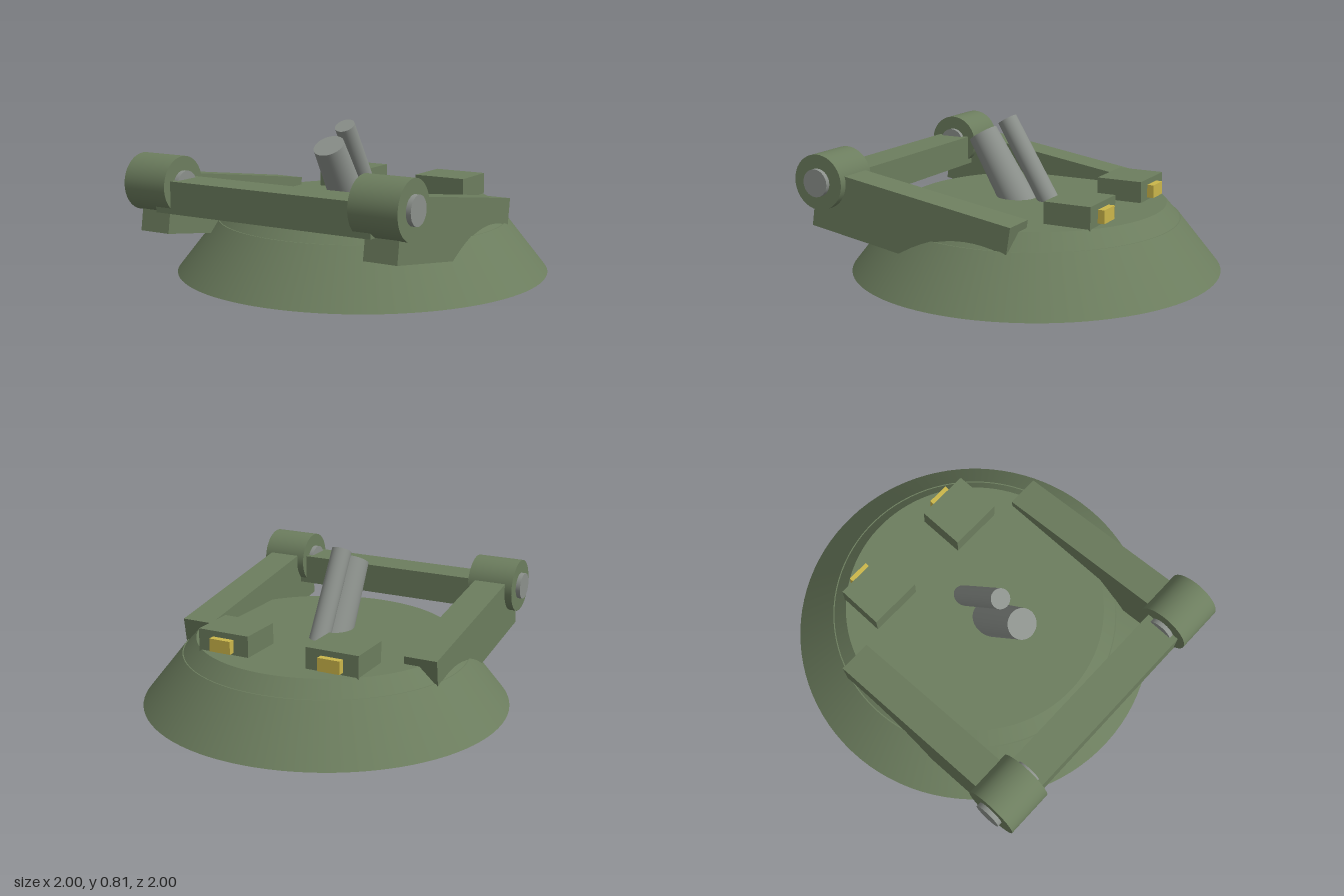
import * as THREE from 'three';

export function createModel() {
  const model = new THREE.Group();
  model.name = 'domedHatchMachine';

  const paint = (name, color) => {
    const m = new THREE.MeshStandardMaterial({ color });
    m.name = name;
    return m;
  };
  const green = paint('olive green', 0x6c7d5e);
  const steel = paint('steel grey', 0x8b908b);
  const yellow = paint('lamp yellow', 0xcbb64a);

  const add = (name, geometry, material, x, y, z) => {
    const mesh = new THREE.Mesh(geometry, material);
    mesh.name = name;
    mesh.position.set(x, y, z);
    model.add(mesh);
    return mesh;
  };
  const box = (w, h, d) => new THREE.BoxGeometry(w, h, d);
  const cyl = (top, bottom, h, sides = 48) => new THREE.CylinderGeometry(top, bottom, h, sides);

  // Sloped hull with a bevelled deck ring on top
  add('hull', cyl(0.78, 1, 0.28, 96), green, 0, 0.14, 0);
  add('deck', cyl(0.703, 0.774, 0.082, 96), green, 0, 0.321, 0);

  // Bar joining the two front drums
  add('crossBar', box(1.26, 0.165, 0.2), green, 0, 0.468, 0.853);

  for (const [side, s] of [['left', 1], ['right', -1]]) {
    // Tilted arm, drum at its front end and the pin through the drum
    add(side + 'Arm', box(0.18, 0.312, 1.15), green, s * 0.665, 0.34, 0.337).rotation.x = -0.157;
    add(side + 'Drum', cyl(0.146, 0.146, 0.26), green, s * 0.665, 0.52, 0.853).rotation.z = Math.PI / 2;
    add(side + 'Pin', cyl(0.073, 0.073, 0.31), steel, s * 0.665, 0.52, 0.853).rotation.z = Math.PI / 2;
    // Rear deck box with its lamp
    add(side + 'RearBox', box(0.296, 0.125, 0.256), green, s * 0.315, 0.414, -0.413);
    add(side + 'RearLamp', box(0.123, 0.07, 0.04), yellow, s * 0.315, 0.41, -0.557);
  }

  // Barrels lean forward; each is placed by the centre of its muzzle
  const barrel = (name, top, bottom, length, angle, y, z) => {
    const geometry = cyl(top, bottom, length).translate(0, -length / 2, 0);
    add(name, geometry, steel, 0, y, z).rotation.x = angle;
  };
  barrel('largeBarrel', 0.082, 0.098, 0.5, 0.55, 0.696, 0.332);
  barrel('smallBarrel', 0.054, 0.056, 0.56, 0.54, 0.785, 0.179);

  return model;
}
